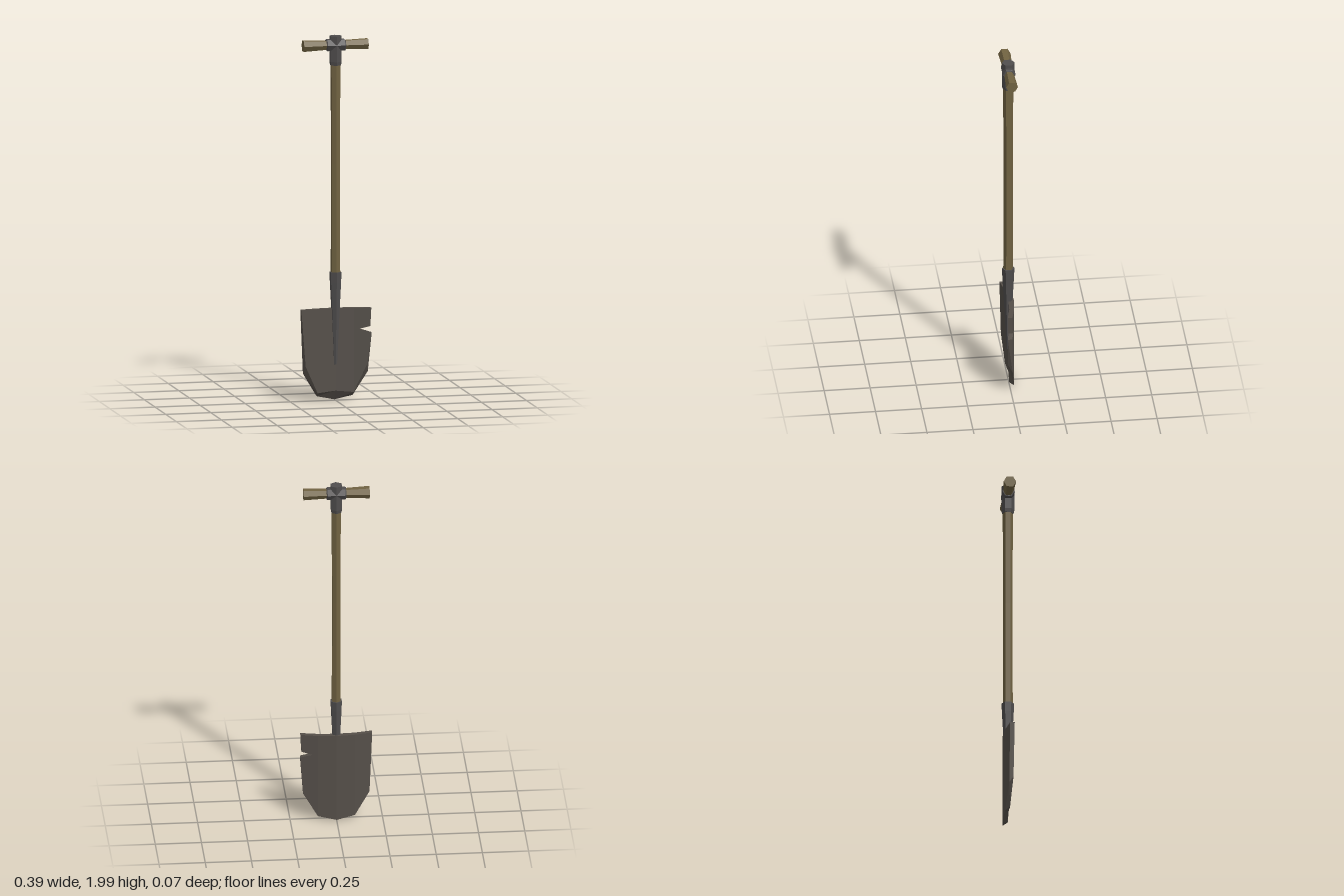
import * as THREE from 'three';

const steel = new THREE.MeshStandardMaterial({ color: 0x504e4e, flatShading: true });
steel.name = 'grey steel';
const bladeSteel = new THREE.MeshStandardMaterial({ color: 0x554f49, flatShading: true });
bladeSteel.name = 'worn blade steel';
const wood = new THREE.MeshStandardMaterial({ color: 0x716342, flatShading: true });
wood.name = 'old wood';

// Six-sided turned part from [radius, height] pairs, listed upwards
function turned(name, profile, material) {
  const points = profile.map(([r, y]) => new THREE.Vector2(r, y));
  const mesh = new THREE.Mesh(new THREE.LatheGeometry(points, 6), material);
  mesh.name = name;
  return mesh;
}

// The same, lying along x at the height of the grip
function crosswise(name, profile, material) {
  const mesh = turned(name, profile, material);
  mesh.rotation.z = -Math.PI / 2;
  mesh.position.y = 1.95;
  return mesh;
}

// Dished depth of a blade surface: centre, crease at 0.1, and side edge
function dish(x, centre, crease, edge) {
  const a = Math.abs(x);
  return a < 0.1
    ? THREE.MathUtils.lerp(centre, crease, a / 0.1)
    : THREE.MathUtils.lerp(crease, edge, (a - 0.1) / 0.095);
}

function bladeGeometry() {
  // Back outline, counter-clockwise from the top corner, with a notch on one side
  const back = [
    [-0.195, 0.51], [-0.18, 0.16], [-0.1, 0.03], [0, 0.008], [0.1, 0.03], [0.18, 0.16],
    [0.195, 0.375], [0.13, 0.395], [0.188, 0.41], [0.193, 0.51], [0.1, 0.51], [0, 0.51], [-0.1, 0.51],
  ];
  // Front outline is drawn in along the sharpened lower edge
  const front = back.map((p) => [...p]);
  front[1] = [-0.17, 0.2];
  front[2] = [-0.1, 0.05];
  front[3] = [0, 0.06];
  front[4] = [0.1, 0.05];
  front[5] = [0.17, 0.2];

  const F = front.map(([x, y]) => [x, y, dish(x, 0, 0.006, 0.025)]);
  const B = back.map(([x, y]) => [x, y, dish(x, -0.03, -0.021, 0)]);
  const panels = [[0, 1, 2, 12], [12, 2, 3, 11], [11, 3, 4, 10], [4, 5, 6, 7, 8, 9, 10]];
  const out = [];

  // Front and back panels between the creases
  for (const panel of panels) {
    for (const side of [F, B]) {
      const contour = panel.map((i) => new THREE.Vector2(side[i][0], side[i][1]));
      for (const [a, b, c] of THREE.ShapeUtils.triangulateShape(contour, [])) {
        const tri = side === F ? [a, b, c] : [a, c, b];
        for (const k of tri) out.push(...side[panel[k]]);
      }
    }
  }
  // Rim
  for (let i = 0; i < F.length; i++) {
    const j = (i + 1) % F.length;
    out.push(...B[i], ...B[j], ...F[j], ...B[i], ...F[j], ...F[i]);
  }
  const geometry = new THREE.BufferGeometry();
  geometry.setAttribute('position', new THREE.Float32BufferAttribute(out, 3));
  geometry.computeVertexNormals();
  return geometry;
}

export function createModel() {
  const group = new THREE.Group();
  group.name = 'shovel';

  const blade = new THREE.Mesh(bladeGeometry(), bladeSteel);
  blade.name = 'blade';
  group.add(blade);

  // Tapered socket running down the face of the blade
  group.add(turned('socket', [
    [0, 0.205], [0.009, 0.205], [0.024, 0.51], [0.032, 0.655], [0.034, 0.71], [0, 0.71],
  ], steel));

  group.add(turned('shaft', [[0.027, 0.7], [0.025, 1.3], [0.028, 1.86]], wood));

  // Upright and crosswise sleeves of the top joint
  group.add(turned('collar', [
    [0, 1.84], [0.031, 1.84], [0.035, 1.86], [0.035, 2], [0, 2],
  ], steel));
  group.add(crosswise('gripSleeve', [
    [0, -0.053], [0.031, -0.053], [0.035, -0.048], [0.035, 0.048], [0.031, 0.053], [0, 0.053],
  ], steel));

  // Grip flares towards both ends
  group.add(crosswise('grip', [
    [0, -0.18], [0.034, -0.18], [0.027, -0.05], [0.027, 0.05], [0.032, 0.178], [0, 0.178],
  ], wood));

  return group;
}
